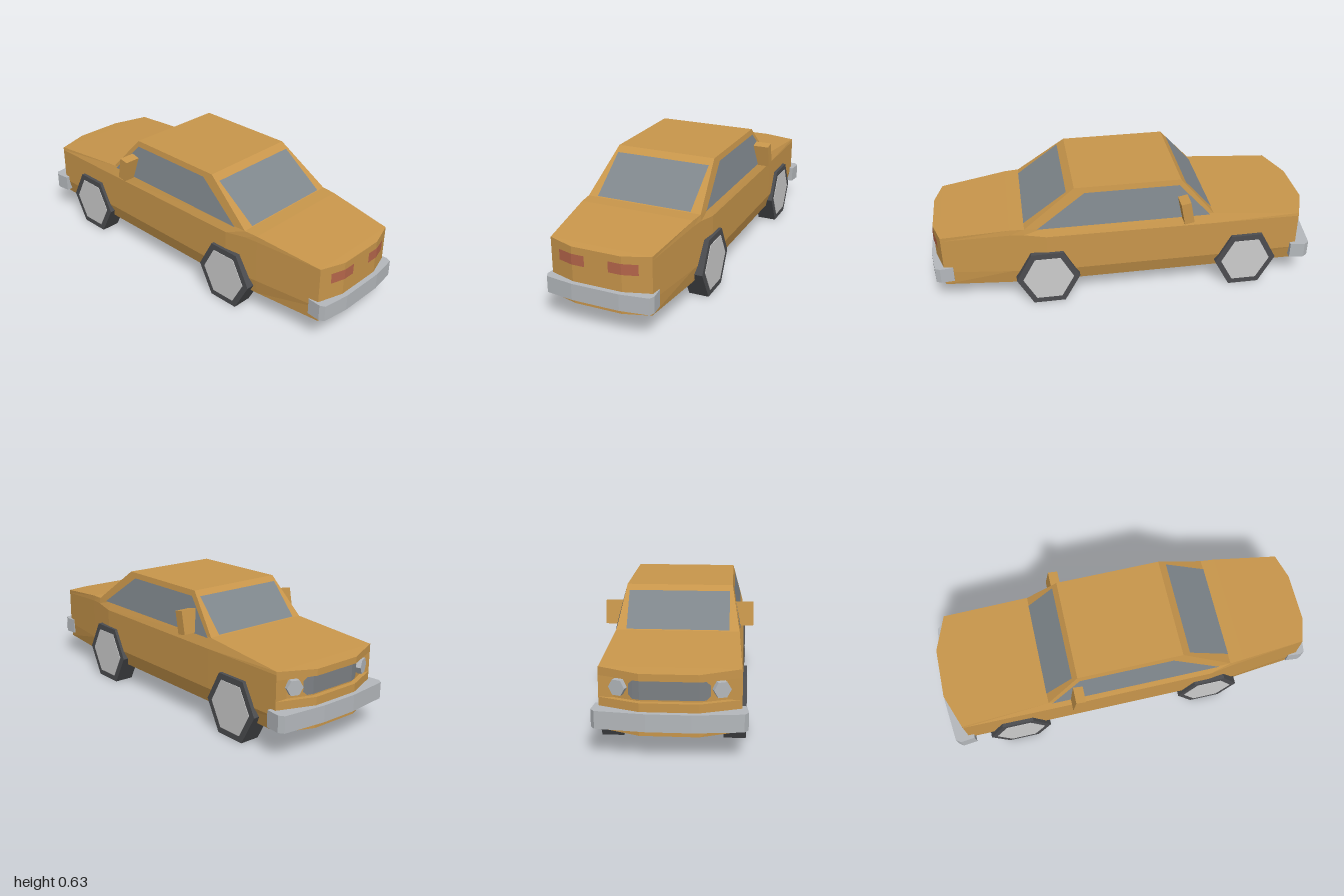
import * as THREE from 'three';

const mat = (color, side = THREE.FrontSide) =>
  new THREE.MeshStandardMaterial({ color, flatShading: true, side });
const paint = mat(0xc8964b), chrome = mat(0xb4b8bc), tyre = mat(0x4c4d50), hub = mat(0xcccccc);
const glass = mat(0x7f878c, THREE.DoubleSide), lamp = mat(0xb5654a, THREE.DoubleSide);
const grilleMat = mat(0x7c8084, THREE.DoubleSide);

function build(tris) {
  const g = new THREE.BufferGeometry();
  g.setAttribute('position', new THREE.Float32BufferAttribute(tris.flat(2), 3));
  g.computeVertexNormals();
  return g;
}

// Closed solid through rings of [x, y, z] points, wound outwards.
function loft(rings) {
  const tris = [], n = rings[0].length;
  for (let r = 0; r < rings.length - 1; r++) {
    const a = rings[r], b = rings[r + 1];
    for (let i = 0; i < n; i++) {
      const j = (i + 1) % n;
      tris.push([a[i], a[j], b[j]], [a[i], b[j], b[i]]);
    }
  }
  const first = rings[0], last = rings[rings.length - 1];
  for (let i = 1; i < n - 1; i++) {
    tris.push([first[0], first[i + 1], first[i]], [last[0], last[i], last[i + 1]]);
  }
  let volume = 0;
  for (const t of tris) {
    const [p, q, s] = t.map(v => new THREE.Vector3(...v));
    volume += p.dot(q.cross(s));
  }
  return build(volume < 0 ? tris.map(([p, q, s]) => [p, s, q]) : tris);
}

// Strip of panels; each station is a pair of [x, y, z] points.
function strip(stations) {
  const tris = [];
  for (let i = 0; i < stations.length - 1; i++) {
    const [a, b] = stations[i], [c, d] = stations[i + 1];
    tris.push([a, c, d], [a, d, b]);
  }
  return build(tris);
}

// Mirrored plan outline [x, z] at height y.
const plan = (pts, y) => [
  ...pts.map(([x, z]) => [x, y, z]),
  ...pts.slice().reverse().map(([x, z]) => [x, y, -z]),
];

export function createModel() {
  const car = new THREE.Group();
  car.name = 'car';
  const add = (name, geometry, material) => {
    const m = new THREE.Mesh(geometry, material);
    m.name = name;
    car.add(m);
    return m;
  };

  // Body shell: x, sill half width, side half width, belt height, top half width, top height
  const body = [
    [-0.905, 0.295, 0.315, 0.385, 0.312, 0.4],
    [-0.45, 0.295, 0.32, 0.39, 0.3, 0.44],
    [0.41, 0.295, 0.32, 0.395, 0.3, 0.44],
    [0.52, 0.29, 0.307, 0.41, 0.302, 0.44],
    [0.59, 0.285, 0.299, 0.41, 0.296, 0.438],
    [0.935, 0.25, 0.256, 0.38, 0.256, 0.398],
    [0.975, 0.12, 0.125, 0.375, 0.125, 0.392],
  ].map(([x, sill, side, belt, top, h]) => {
    const half = [[0.11, sill], [0.19, side], [belt, side], [h, top]];
    return [
      ...half.map(([y, z]) => [x, y, z]),
      ...half.reverse().map(([y, z]) => [x, y, -z]),
    ];
  });
  add('body', loft(body), paint);

  // Nose: lower apron, recessed middle and overhanging bonnet lip
  const nose = [[-0.975, 0.13], [-0.905, 0.315]];
  const noseInset = [[-0.95, 0.13], [-0.885, 0.3]];
  add('noseLower', loft([plan([[-0.975, 0.13], [-0.905, 0.297]], 0.11), plan(nose, 0.19), plan(nose, 0.26)]), paint);
  add('noseRecess', loft([plan(noseInset, 0.25), plan(noseInset, 0.37)]), paint);
  const lipTop = plan(nose, 0.4).map(([x, y, z]) => [x, x < -0.95 ? 0.392 : y, z]);
  add('bonnetLip', loft([plan(nose, 0.36), lipTop]), paint);

  // Cabin
  add('cabin', loft([
    plan([[-0.45, 0.3], [0.52, 0.302]], 0.438),
    plan([[-0.28, 0.263], [0.26, 0.263]], 0.632),
  ]), paint);

  // Windscreen and rear window, lifted just off the cabin
  const endGlass = (name, x0, x1) => add(name, strip(
    [[x0, 0.445], [x1, 0.607]].map(([x, y]) => [[x, y, 0.25], [x, y, -0.25]])), glass);
  endGlass('windscreen', -0.449, -0.307);
  endGlass('rearWindow', 0.518, 0.299);

  for (const s of [1, -1]) {
    const side = s > 0 ? 'left' : 'right';

    // Side window
    const z0 = s * 0.305, z1 = s * 0.272;
    add(side + 'SideWindow', strip([
      [[-0.43, 0.435, z0], [-0.27, 0.605, z1]],
      [[0.455, 0.435, z0], [0.21, 0.605, z1]],
    ]), glass);

    // Door mirror
    const mirror = add(side + 'Mirror', new THREE.BoxGeometry(0.05, 0.117, 0.1), paint);
    mirror.position.set(-0.297, 0.492, s * 0.317);
    mirror.rotation.z = -0.19;

    // Six-sided wheels with hub plates
    for (const [end, x] of [['front', -0.63], ['rear', 0.411]]) {
      const wheel = new THREE.Group();
      wheel.name = end + side + 'Wheel';
      const disc = (name, radius, depth, z, material) => {
        const g = new THREE.CylinderGeometry(radius, radius, depth, 6);
        g.rotateY(Math.PI / 6).rotateX(Math.PI / 2);
        // Put two corners on the horizontal axis
        g.computeBoundingBox();
        if (g.boundingBox.max.x < radius * 0.95) g.rotateZ(Math.PI / 6);
        const m = new THREE.Mesh(g, material);
        m.name = name;
        m.position.z = z;
        m.scale.y = 1.07;
        wheel.add(m);
      };
      disc('tyre', 0.163, 0.103, 0, tyre);
      disc('hubPlate', 0.13, 0.006, s * 0.051, hub);
      wheel.position.set(x, 0.151, s * 0.284);
      car.add(wheel);
    }

    // Headlight on the slanted corner
    const lightGeo = new THREE.CylinderGeometry(0.04, 0.04, 0.03, 6);
    lightGeo.rotateZ(Math.PI / 2).rotateY(s * 0.36);
    add(side + 'Headlight', lightGeo, chrome).position.set(-0.925, 0.315, s * 0.225);

    // Tail light wrapping the rear bend
    add(side + 'TailLight', strip(
      [[0.979, 0.06], [0.979, 0.125], [0.957, 0.2]].map(([x, z]) =>
        [[x, 0.305, s * z], [x, 0.358, s * z]])), lamp);
  }

  // Grille, bent around the nose
  const grilleHalf = [[-0.954, 0, 0.042], [-0.954, 0.13, 0.042], [-0.945, 0.16, 0.042], [-0.938, 0.178, 0.025]];
  const grilleAll = [
    ...grilleHalf.slice(1).reverse().map(([x, z, h]) => [x, -z, h]),
    ...grilleHalf,
  ];
  add('grille', strip(grilleAll.map(([x, z, h]) =>
    [[x, 0.31 - h, z], [x, 0.31 + h, z]])), grilleMat);

  // Bumpers
  const bumper = (name, pts) => add(name, loft([plan(pts, 0.138), plan(pts, 0.22)]), chrome);
  bumper('frontBumper', [[-1, 0.1], [-0.975, 0.325], [-0.95, 0.343], [-0.875, 0.335]]);
  bumper('rearBumper', [[1, 0.12], [0.98, 0.26], [0.955, 0.272], [0.888, 0.266]]);

  return car;
}
